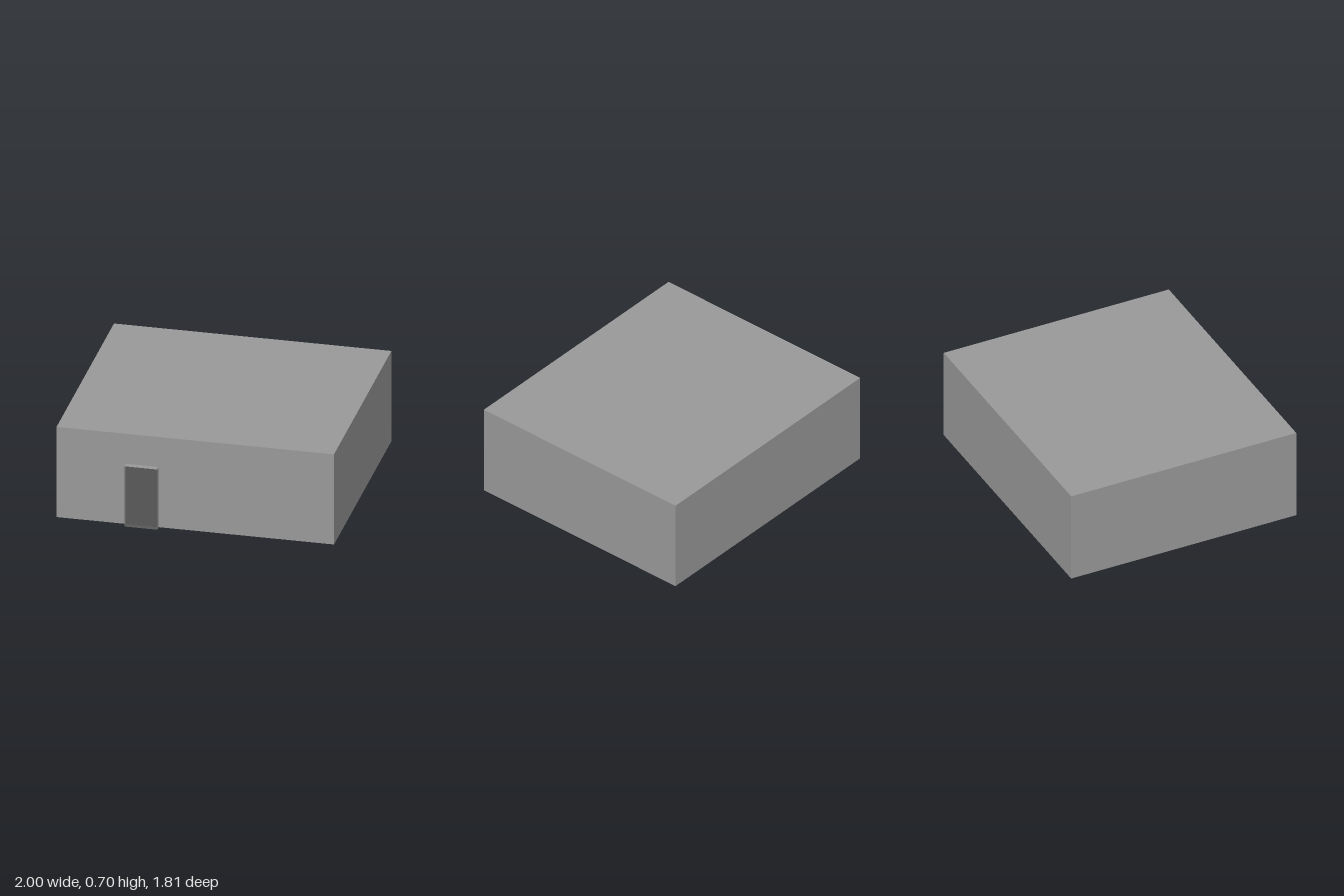
import * as THREE from 'three';

function material(name, color, side = THREE.FrontSide) {
  const m = new THREE.MeshStandardMaterial({ color, side });
  m.name = name;
  return m;
}

export function createModel() {
  const model = new THREE.Group();
  model.name = 'building';

  const grey = material('light grey', 0x999999, THREE.DoubleSide);
  const dark = material('dark grey', 0x595959, THREE.DoubleSide);

  // Main block: light walls and roof, dark underside
  const back = -0.905, wall = 0.861, front = 0.905, height = 0.698;
  const block = new THREE.Mesh(
    new THREE.BoxGeometry(2, height, wall - back),
    [grey, grey, grey, dark, grey, grey]
  );
  block.name = 'mainBlock';
  block.position.set(0, height / 2, (wall + back) / 2);
  model.add(block);

  // Doorway: a shallow surround, open at the front, with a dark panel at the back
  const left = -0.264, right = -0.5, top = 0.466;
  const width = left - right, depth = front - wall;
  const midX = (left + right) / 2, midZ = (front + wall) / 2;
  const doorway = new THREE.Group();
  doorway.name = 'doorway';
  model.add(doorway);

  function addSheet(name, w, h, position, rotation, mat) {
    const sheet = new THREE.Mesh(new THREE.PlaneGeometry(w, h), mat);
    sheet.name = name;
    sheet.position.set(...position);
    sheet.rotation.set(...rotation);
    doorway.add(sheet);
  }

  const quarter = Math.PI / 2;
  addSheet('doorPanel', width, top, [midX, top / 2, wall + 0.003], [0, 0, 0], dark);
  addSheet('leftJamb', depth, top, [left, top / 2, midZ], [0, quarter, 0], grey);
  addSheet('rightJamb', depth, top, [right, top / 2, midZ], [0, -quarter, 0], grey);
  addSheet('lintel', width, depth, [midX, top, midZ], [-quarter, 0, 0], grey);
  addSheet('threshold', width, depth, [midX, 0, midZ], [quarter, 0, 0], dark);

  return model;
}
